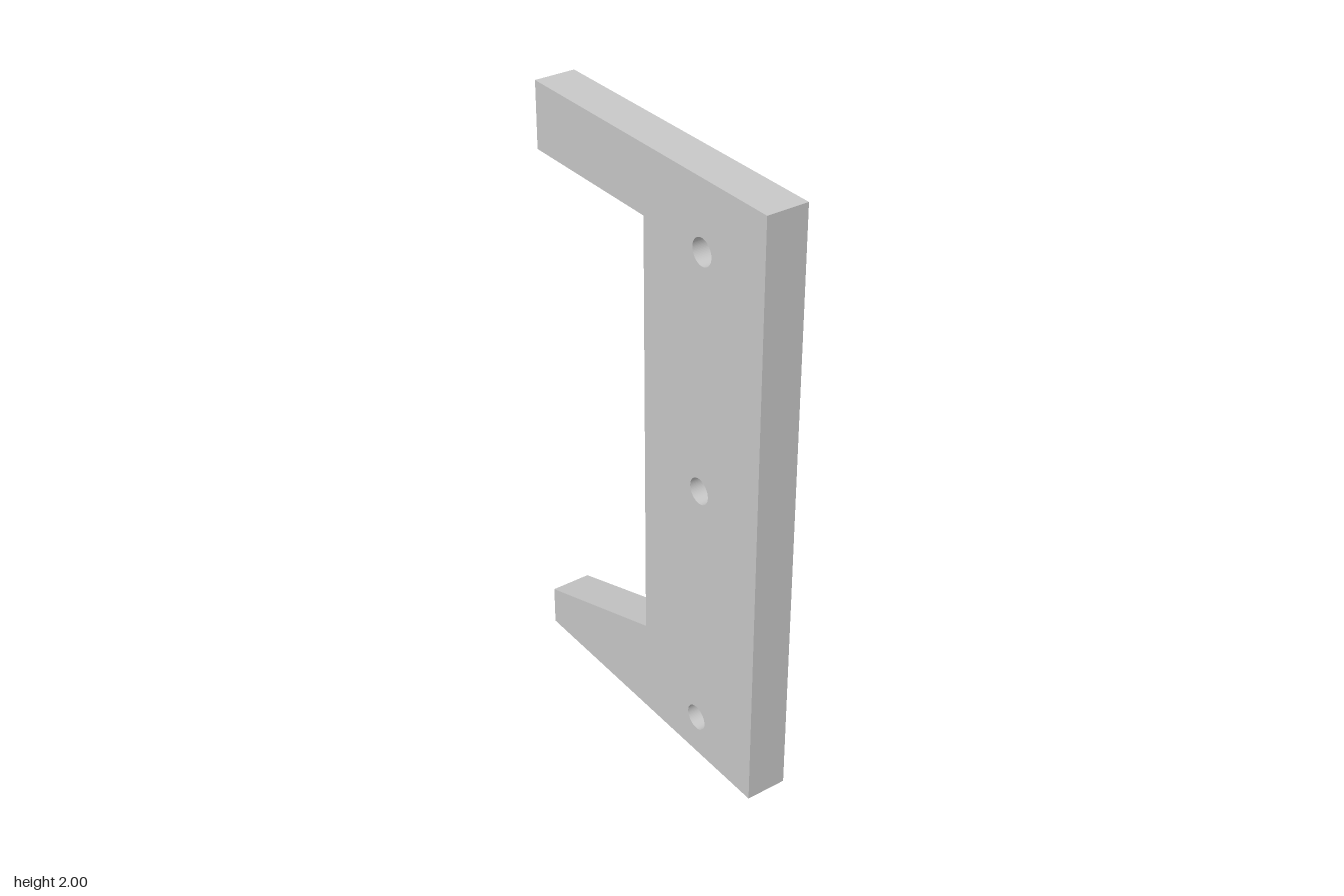
import * as THREE from 'three';

const HALF_WIDTH = 0.547;
const THICKNESS = 0.137;
const HOLE = { x: 0.273, radius: 0.043, heights: [0.137, 1, 1.781] };

export function createModel() {
  const grey = new THREE.MeshStandardMaterial({ color: 0xc8c8c8 });
  grey.name = 'light grey';

  // Plate outline: upright with a square upper arm and a tapered lower arm
  const outline = new THREE.Shape([
    [-HALF_WIDTH, 0], [HALF_WIDTH, 0], [HALF_WIDTH, 2], [-HALF_WIDTH, 2],
    [-HALF_WIDTH, 1.781], [0, 1.781], [0, 0.328], [-HALF_WIDTH, 0.137],
  ].map(([x, y]) => new THREE.Vector2(x, y)));

  // Screw holes along the middle of the upright
  for (const y of HOLE.heights) {
    outline.holes.push(new THREE.Path().absarc(HOLE.x, y, HOLE.radius, 0, Math.PI * 2, true));
  }

  const geometry = new THREE.ExtrudeGeometry(outline, {
    depth: THICKNESS, bevelEnabled: false, curveSegments: 32,
  });
  geometry.translate(0, 0, -THICKNESS / 2);

  const plate = new THREE.Mesh(geometry, grey);
  plate.name = 'bracketPlate';

  const model = new THREE.Group();
  model.name = 'bracket';
  model.add(plate);
  return model;
}
